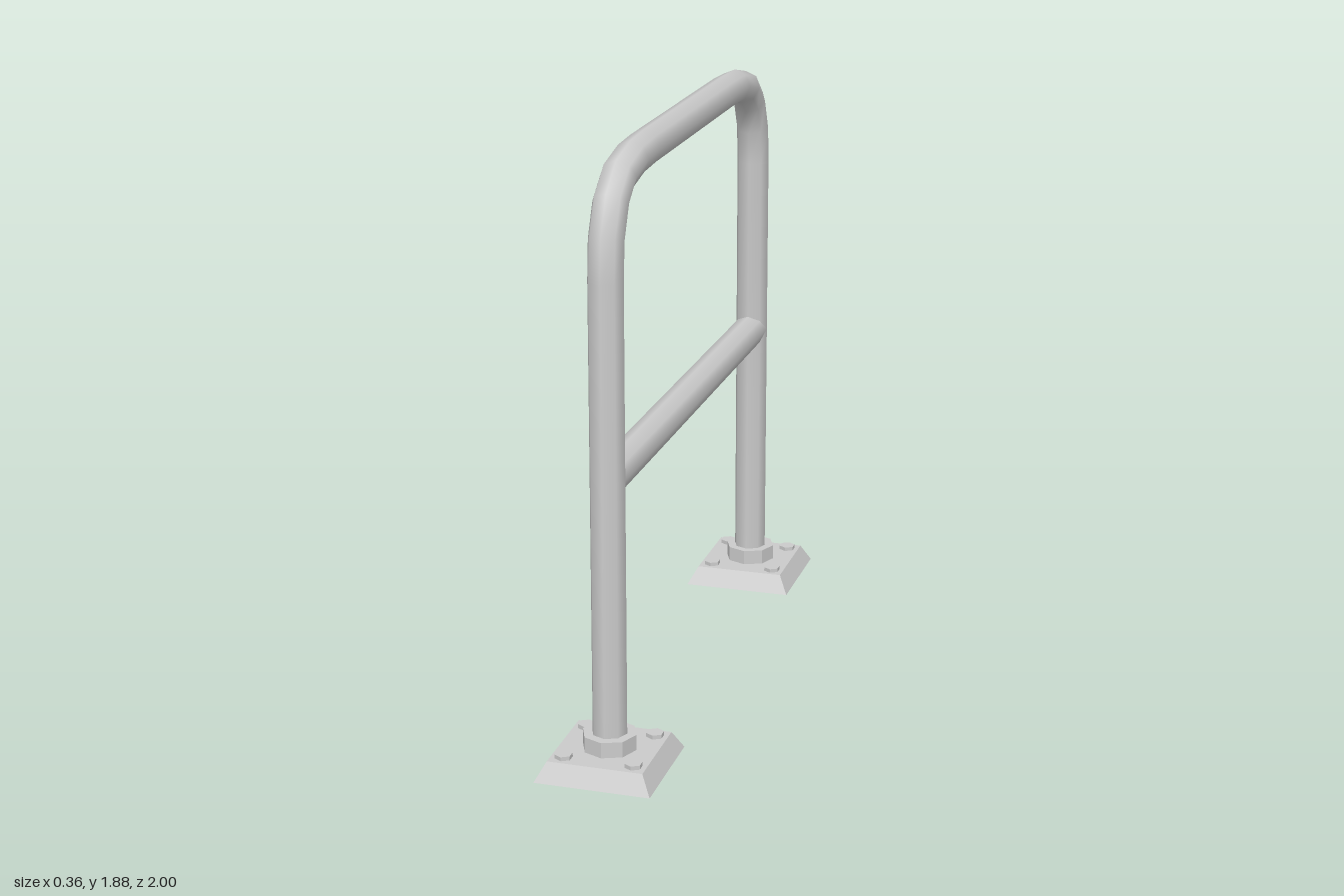
import * as THREE from 'three';

const smooth = new THREE.MeshStandardMaterial({ color: 0xcccccc, side: THREE.DoubleSide });
const flat = new THREE.MeshStandardMaterial({ color: 0xcccccc, side: THREE.DoubleSide, flatShading: true });

const LEG_Z = 0.815, PIPE_R = 0.055, TOP_Y = 1.83;

// Path of straight segments; rings sit on the corners and bisect them
class CornerPath extends THREE.Curve {
  constructor(points) {
    super();
    this.points = points;
  }
  getPoint(t, target = new THREE.Vector3()) {
    const n = this.points.length - 1;
    const i = Math.min(Math.floor(t * n + 1e-6), n - 1);
    return target.lerpVectors(this.points[i], this.points[i + 1], t * n - i);
  }
  getPointAt(t, target) {
    return this.getPoint(t, target);
  }
  getTangent(t, target = new THREE.Vector3()) {
    const p = this.points, n = p.length - 1, i = Math.round(t * n);
    target.set(0, 0, 0);
    if (i > 0) target.add(p[i].clone().sub(p[i - 1]).normalize());
    if (i < n) target.add(p[i + 1].clone().sub(p[i]).normalize());
    return target.normalize();
  }
  getTangentAt(t, target) {
    return this.getTangent(t, target);
  }
}

function addMesh(parent, name, geometry, material) {
  const mesh = new THREE.Mesh(geometry, material);
  mesh.name = name;
  parent.add(mesh);
  return mesh;
}

function lathe(profile, sides, phi = 0) {
  return new THREE.LatheGeometry(profile.map(([r, y]) => new THREE.Vector2(r, y)), sides, phi);
}

// Hollow floor plate with collar and four bolts
function createFoot() {
  const foot = new THREE.Group();
  const d = Math.SQRT2;
  addMesh(foot, 'basePlate', lathe([[0.182 * d, 0], [0.15 * d, 0.06], [0, 0.06]], 4, Math.PI / 4), flat);
  addMesh(foot, 'collar', lathe([[PIPE_R, 0.03], [0.085, 0.03], [0.085, 0.11], [PIPE_R, 0.11]], 8), flat);
  for (const x of [-0.11, 0.11]) {
    for (const z of [-0.11, 0.11]) {
      const bolt = addMesh(foot, 'bolt', new THREE.CylinderGeometry(0.028, 0.028, 0.03, 6), flat);
      bolt.position.set(x, 0.058, z);
    }
  }
  return foot;
}

export function createModel() {
  const model = new THREE.Group();
  model.name = 'bikeRack';

  // Bent hoop: each leg and corner as [inset from leg line, height]
  const side = [[0, 0.04], [0, 1.52], [0.01, 1.64], [0.055, 1.74], [0.13, 1.8], [0.25, 1.825], [0.37, TOP_Y]];
  const front = side.map(([inset, y]) => new THREE.Vector3(0, y, LEG_Z - inset));
  const back = front.map((p) => new THREE.Vector3(0, p.y, -p.z)).reverse();
  const path = new CornerPath([...front, ...back]);
  addMesh(model, 'hoop', new THREE.TubeGeometry(path, path.points.length - 1, PIPE_R, 8), smooth);

  // Cross rail between the legs
  const rail = addMesh(model, 'crossRail',
    new THREE.CylinderGeometry(PIPE_R, PIPE_R, 2 * LEG_Z, 8, 1, true), smooth);
  rail.rotation.x = Math.PI / 2;
  rail.position.y = 0.92;

  // Feet
  for (const s of [1, -1]) {
    const foot = createFoot();
    foot.name = s > 0 ? 'frontFoot' : 'backFoot';
    foot.position.z = s * 0.818;
    model.add(foot);
  }
  return model;
}
